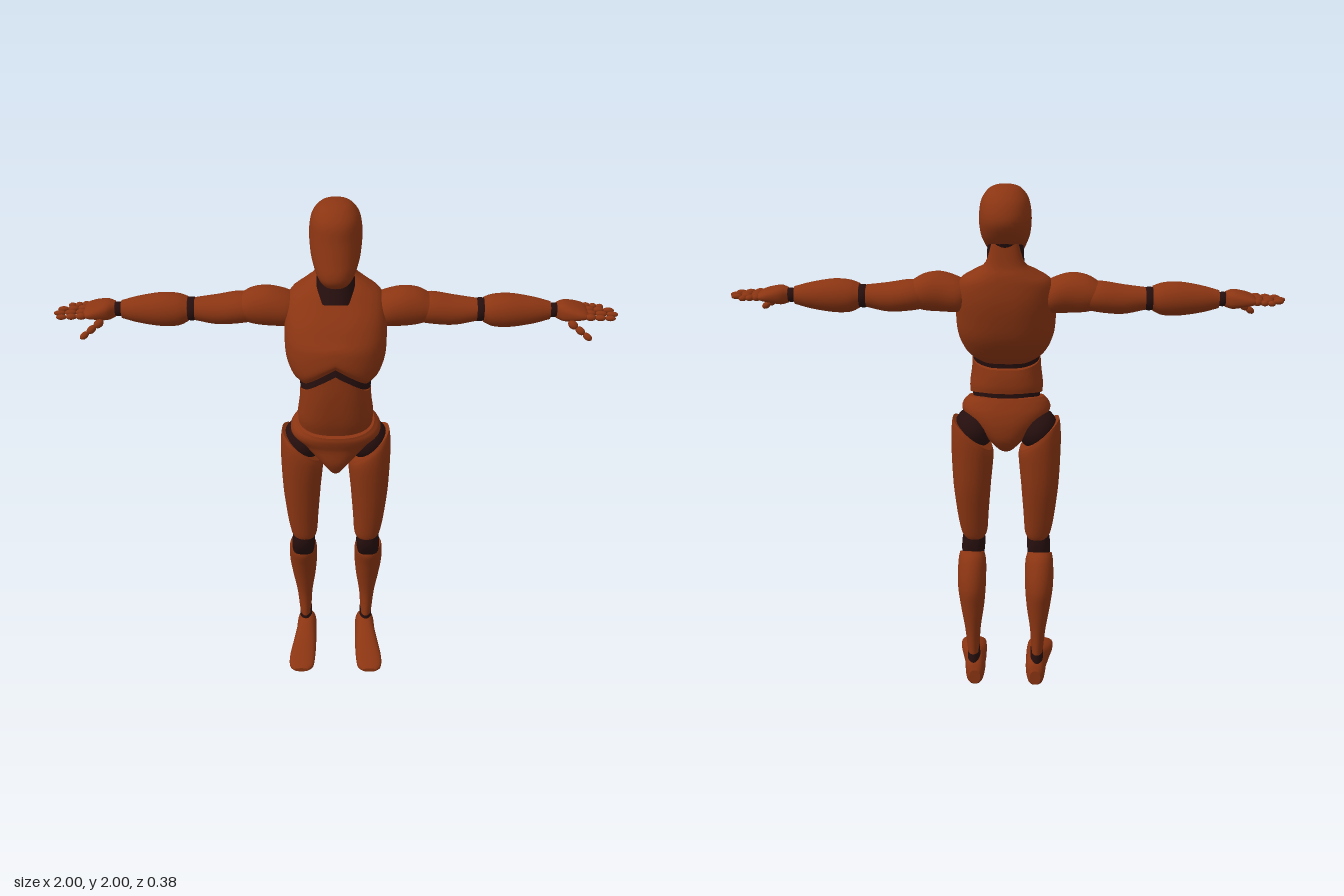
import * as THREE from 'three';

const brown = new THREE.MeshStandardMaterial({ color: 0x8b3512 });
brown.name = 'reddish brown';
const dark = new THREE.MeshStandardMaterial({ color: 0x260f0e });
dark.name = 'dark joint';

const clamp = (v) => Math.min(1, Math.max(0, v));

// Smooth skin over sections [t, u0, u1, v0, v1] along an axis.
// Axis y: u = z, v = x.  Axis x: u = y, v = z.  Axis z: u = x, v = y.
function loft(axis, rows, { power = 2, warp, n = 32, sub = 4 } = {}) {
  const spline = new THREE.CubicInterpolant(rows.map((_, i) => i), rows.flat(), 5);
  const place = {
    x: (t, u, v) => new THREE.Vector3(t, u, v),
    y: (t, u, v) => new THREE.Vector3(v, t, u),
    z: (t, u, v) => new THREE.Vector3(u, v, t),
  }[axis];
  const round = (c) => Math.sign(c) * Math.abs(c) ** (2 / power);
  const pos = [], index = [], steps = (rows.length - 1) * sub;
  const push = (p) => { if (warp) warp(p); pos.push(p.x, p.y, p.z); };
  const ring = (s, scale = 1) => {
    const [t, u0, u1, v0, v1] = Array.from(spline.evaluate(s / sub));
    for (let j = 0; j < n; j++) {
      const a = (j / n) * Math.PI * 2;
      push(place(t, (u0 + u1) / 2 + scale * round(Math.cos(a)) * (u1 - u0) / 2,
        (v0 + v1) / 2 + scale * round(Math.sin(a)) * (v1 - v0) / 2));
    }
  };
  const bridge = (r) => {
    for (let j = 0; j < n; j++) {
      const k = (j + 1) % n, a = r * n;
      index.push(a + j, a + k, a + n + j, a + k, a + n + k, a + n + j);
    }
  };
  for (let s = 0; s <= steps; s++) ring(s);
  for (let s = 0; s < steps; s++) bridge(s);
  // Caps keep their own rings so the rims stay crisp
  ring(0, 0.001); ring(0); bridge(steps + 1);
  ring(steps); ring(steps, 0.001); bridge(steps + 3);
  const geo = new THREE.BufferGeometry();
  geo.setAttribute('position', new THREE.Float32BufferAttribute(pos, 3));
  geo.setIndex(index);
  geo.computeVertexNormals();
  return geo;
}

// Ellipsoid, optionally stretched between two points
const ball = (x, y, z, rx, ry, rz, seg = 24) =>
  new THREE.SphereGeometry(1, seg, seg / 2).scale(rx, ry, rz).translate(x, y, z);

function bone(a, b, r, seg = 12) {
  const p = new THREE.Vector3(...a), q = new THREE.Vector3(...b);
  const d = q.clone().sub(p), len = d.length();
  const turn = new THREE.Quaternion().setFromUnitVectors(new THREE.Vector3(0, 1, 0), d.normalize());
  const mid = p.add(q).multiplyScalar(0.5);
  return new THREE.SphereGeometry(1, seg, 8).scale(r, len / 2 + r * 0.2, r)
    .applyQuaternion(turn).translate(mid.x, mid.y, mid.z);
}

function mirrored(geo) {
  const g = geo.clone().scale(-1, 1, 1), idx = g.index.array;
  for (let i = 0; i < idx.length; i += 3) [idx[i], idx[i + 1]] = [idx[i + 1], idx[i]];
  return g;
}

export function createModel() {
  const model = new THREE.Group();
  model.name = 'jointedFigure';
  const add = (name, geo, mat = brown) => {
    const m = new THREE.Mesh(geo, mat);
    m.name = name;
    model.add(m);
  };
  const pair = (name, geo, mat) => {
    add(name + 'Left', geo, mat);
    add(name + 'Right', mirrored(geo), mat);
  };

  // Rib arch at the front of the chest and matching top of the abdomen
  const front = (p) => clamp((p.z + 0.03) / 0.2);
  const arch = (p) => front(p) * (0.06 + 0.07 * Math.max(0, 1 - Math.abs(p.x) / 0.11));
  const sag = (p) => 0.045 * front(p);

  // Head and neck
  add('head', loft('y', [
    [1.715, -0.01, 0.035, -0.025, 0.025], [1.73, -0.03, 0.065, -0.045, 0.045],
    [1.755, -0.06, 0.085, -0.062, 0.062], [1.785, -0.1, 0.086, -0.075, 0.075],
    [1.825, -0.15, 0.074, -0.087, 0.087], [1.885, -0.185, 0.057, -0.092, 0.092],
    [1.945, -0.168, 0.042, -0.084, 0.084], [1.982, -0.13, 0.006, -0.06, 0.06],
    [1.996, -0.095, -0.028, -0.033, 0.033], [2.0, -0.065, -0.055, -0.005, 0.005],
  ], { power: 2.15 }));
  add('neck', new THREE.CylinderGeometry(0.062, 0.07, 0.2, 32).rotateX(-0.38).translate(0, 1.735, -0.033), dark);

  // Torso
  add('chest', loft('y', [
    [1.34, -0.04, 0.165, -0.125, 0.125], [1.38, -0.08, 0.176, -0.155, 0.155],
    [1.45, -0.125, 0.173, -0.177, 0.177], [1.53, -0.147, 0.16, -0.182, 0.182],
    [1.6, -0.156, 0.118, -0.18, 0.18], [1.66, -0.152, 0.058, -0.163, 0.163],
    [1.695, -0.145, 0.022, -0.115, 0.115], [1.73, -0.132, -0.04, -0.07, 0.07],
    [1.81, -0.12, -0.08, -0.045, 0.045],
  ], { power: 2.4, n: 48, warp: (p) => { p.y += arch(p) * clamp((1.56 - p.y) / 0.22); } }));
  add('waistCore', loft('y', [
    [1.1, -0.03, 0.12, -0.11, 0.11], [1.2, -0.03, 0.14, -0.127, 0.127],
    [1.3, -0.028, 0.16, -0.122, 0.122], [1.38, -0.04, 0.163, -0.13, 0.13],
    [1.5, -0.07, 0.15, -0.14, 0.14],
  ], { power: 2.3 }), dark);
  add('abdomen', loft('y', [
    [1.225, -0.045, 0.155, -0.136, 0.136], [1.25, -0.048, 0.172, -0.137, 0.137],
    [1.285, -0.045, 0.18, -0.13, 0.13], [1.315, -0.038, 0.178, -0.127, 0.127],
  ], {
    power: 2.4, n: 48,
    warp: (p) => {
      const k = clamp((p.y - 1.225) / 0.09);
      p.y += arch(p) * k - sag(p) * (1 - k);
    },
  }));
  add('pelvis', loft('y', [
    [0.972, 0.05, 0.09, -0.012, 0.012], [0.99, -0.03, 0.115, -0.032, 0.032],
    [1.04, -0.08, 0.138, -0.075, 0.075], [1.1, -0.09, 0.14, -0.13, 0.13],
    [1.15, -0.082, 0.148, -0.165, 0.165], [1.185, -0.067, 0.152, -0.16, 0.16],
    [1.207, -0.055, 0.15, -0.143, 0.143],
  ], { power: 2.3, n: 48, warp: (p) => { p.y -= sag(p) * clamp((p.y - 1.1) / 0.1); } }));

  // Legs
  pair('hipJoint', ball(0.118, 1.075, 0.003, 0.078, 0.08, 0.087), dark);
  pair('thigh', loft('y', [
    [0.62, -0.04, 0.062, 0.082, 0.163], [0.645, -0.05, 0.074, 0.073, 0.175],
    [0.72, -0.066, 0.082, 0.068, 0.188], [0.85, -0.086, 0.092, 0.058, 0.202],
    [0.97, -0.091, 0.1, 0.05, 0.208], [1.03, -0.09, 0.098, 0.048, 0.205],
    [1.055, -0.085, 0.088, 0.052, 0.2],
  ], { power: 2.2, warp: (p) => { p.y += 0.85 * (p.x - 0.125) * clamp((p.y - 0.85) / 0.2); } }));
  pair('kneeJoint', loft('y', [
    [0.51, -0.03, 0.022, 0.092, 0.168], [0.55, -0.035, 0.05, 0.085, 0.173],
    [0.6, -0.038, 0.068, 0.082, 0.172], [0.655, -0.03, 0.068, 0.09, 0.16],
  ], { power: 2.4 }), dark);
  pair('shin', loft('y', [
    [0.145, -0.112, -0.022, 0.104, 0.15], [0.25, -0.116, -0.028, 0.098, 0.16],
    [0.35, -0.125, -0.012, 0.084, 0.176], [0.44, -0.13, 0.012, 0.077, 0.187],
    [0.52, -0.09, 0.034, 0.077, 0.186], [0.56, -0.052, 0.035, 0.085, 0.18],
  ], { warp: (p) => { p.y -= 0.45 * (p.z + 0.02) * clamp((p.y - 0.44) / 0.12); } }));
  pair('ankleJoint', new THREE.CylinderGeometry(0.024, 0.026, 0.09, 20).scale(1, 1, 1.5).translate(0.126, 0.125, -0.067), dark);
  pair('foot', loft('z', [
    [-0.118, 0.1, 0.142, 0.015, 0.075], [-0.1, 0.088, 0.156, 0.003, 0.108],
    [-0.06, 0.082, 0.162, 0.002, 0.128], [-0.02, 0.083, 0.165, 0.006, 0.118],
    [0.05, 0.082, 0.178, 0.014, 0.092], [0.12, 0.085, 0.19, 0.018, 0.072],
    [0.17, 0.092, 0.188, 0.022, 0.058], [0.192, 0.112, 0.17, 0.03, 0.048],
  ], { power: 2.5 }));

  // Arms
  pair('shoulder', loft('x', [
    [0.13, 1.56, 1.64, -0.085, 0.0], [0.165, 1.54, 1.665, -0.11, 0.028],
    [0.23, 1.54, 1.685, -0.108, 0.032], [0.29, 1.545, 1.678, -0.108, 0.024],
    [0.34, 1.56, 1.65, -0.1, 0.01],
  ]));
  pair('upperArm', loft('x', [
    [0.28, 1.555, 1.65, -0.1, 0.01], [0.34, 1.545, 1.657, -0.112, 0.017],
    [0.42, 1.54, 1.645, -0.105, 0.012], [0.5, 1.555, 1.635, -0.088, 0.0],
  ]));
  pair('elbowJoint', ball(0.512, 1.595, -0.045, 0.045, 0.042, 0.044), dark);
  pair('forearm', loft('x', [
    [0.525, 1.552, 1.64, -0.09, 0.005], [0.56, 1.536, 1.652, -0.1, 0.016],
    [0.62, 1.534, 1.655, -0.1, 0.018], [0.7, 1.546, 1.642, -0.088, 0.006],
    [0.76, 1.562, 1.626, -0.072, -0.01],
  ]));
  pair('wristJoint', ball(0.773, 1.595, -0.042, 0.032, 0.026, 0.026), dark);
  pair('palm', loft('x', [
    [0.783, 1.568, 1.622, -0.07, -0.015], [0.81, 1.562, 1.628, -0.086, 0.008],
    [0.85, 1.57, 1.62, -0.094, 0.02], [0.878, 1.577, 1.61, -0.092, 0.02],
    [0.89, 1.585, 1.602, -0.084, 0.012],
  ], { power: 2.5 }));

  // Beaded fingers and thumb
  const digit = (name, a, b, r) => {
    for (let i = 0; i < 3; i++) {
      const at = (k) => a.map((v, c) => v + (b[c] - v) * k);
      pair(name + 'Segment' + (i + 1), bone(at(i / 3), at((i + 1) / 3), r * (1 - i * 0.1)));
    }
  };
  [[-0.078, 0.955], [-0.05, 0.988], [-0.02, 0.998], [0.01, 0.984]].forEach(([z, tip], i) =>
    digit('finger' + (i + 1), [0.88, 1.593, z], [tip, 1.588, z], 0.0125));
  digit('thumb', [0.825, 1.575, 0.01], [0.9, 1.523, 0.046], 0.015);

  return model;
}
